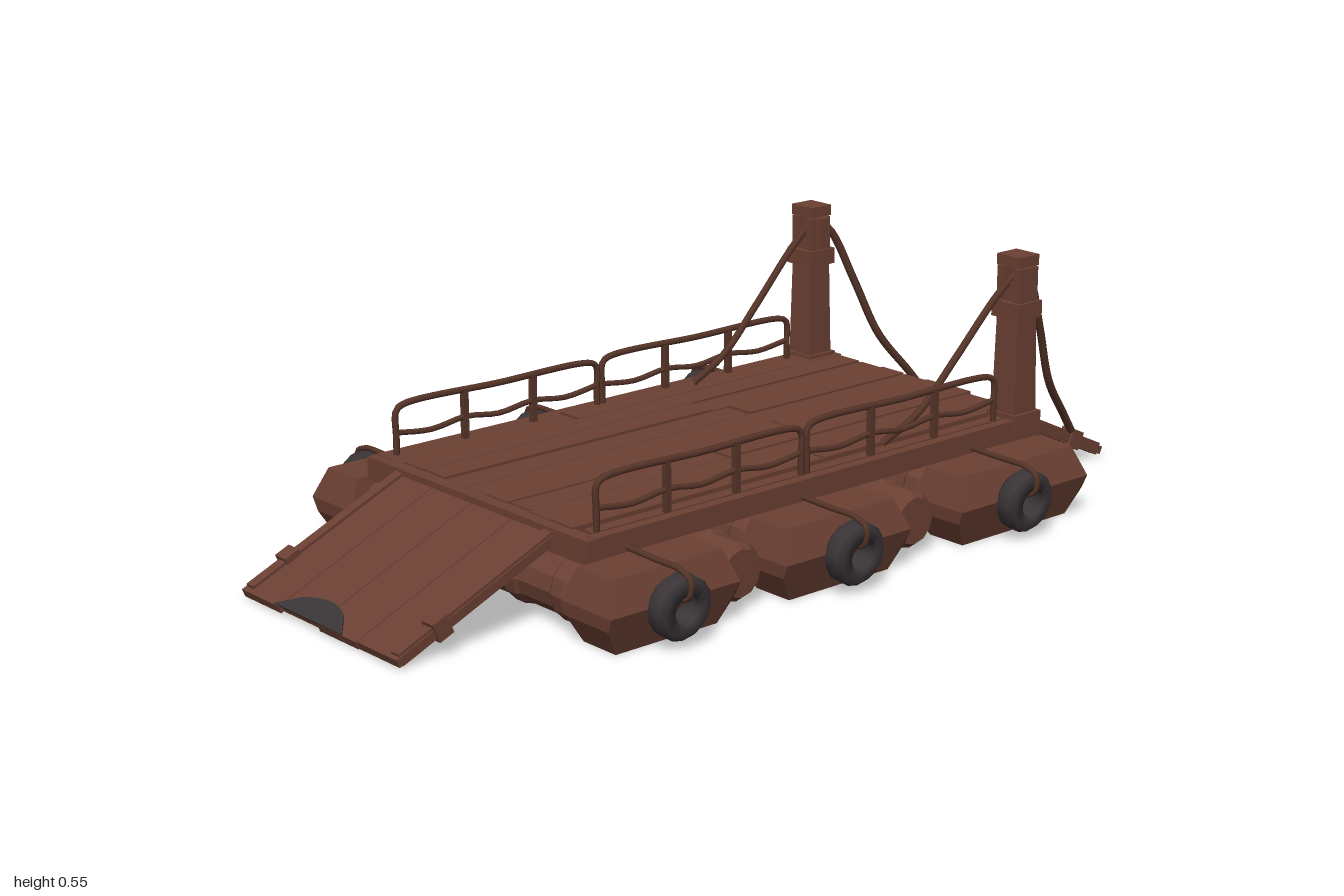
import * as THREE from 'three';
import { ConvexGeometry } from 'three/addons/geometries/ConvexGeometry.js';

export function createModel() {
  const model = new THREE.Group();
  const wood = new THREE.MeshStandardMaterial({ color: 0x6b4033 });
  wood.name = 'rusty brown wood';
  const rope = new THREE.MeshStandardMaterial({ color: 0x573529 });
  rope.name = 'dark brown rope';
  const rubber = new THREE.MeshStandardMaterial({ color: 0x3a3436 });
  rubber.name = 'dark grey rubber';
  wood.flatShading = true;

  let seed = 7;
  const rand = () => (seed = (seed * 16807) % 2147483647) / 2147483647;

  const add = (parent, name, geometry, material, x = 0, y = 0, z = 0) => {
    const mesh = new THREE.Mesh(geometry, material);
    mesh.name = name;
    mesh.position.set(x, y, z);
    parent.add(mesh);
    return mesh;
  };
  const box = (parent, name, w, h, d, x, y, z, material = wood) =>
    add(parent, name, new THREE.BoxGeometry(w, h, d), material, x, y, z);
  const tube = (parent, name, points, r, material = rope, steps = 24) => {
    const curve = new THREE.CatmullRomCurve3(points.map(p => new THREE.Vector3(...p)));
    return add(parent, name, new THREE.TubeGeometry(curve, steps, r, 6), material);
  };

  // Deck planks laid lengthwise, some cut in two
  const rows = 9, z0 = -0.335, pitch = 0.069;
  for (let i = 0; i < rows; i++) {
    const z = z0 + pitch * (i + 0.5);
    const a = -0.6 + rand() * 0.015, b = 0.635 + rand() * 0.015;
    const cut = -0.35 + rand() * 0.75;
    const ends = i % 3 === 1 ? [[a, b]] : [[a, cut - 0.003], [cut + 0.003, b]];
    for (const [s, e] of ends) {
      box(model, 'deckPlank', e - s, 0.03, pitch - 0.003, (s + e) / 2, 0.183 + rand() * 0.006, z);
    }
  }
  box(model, 'deckPlank', 1.2, 0.03, 0.028, 0.02, 0.184, 0.312);

  // Frame beams under and beside the deck
  for (const s of [-1, 1]) {
    box(model, 'sideBeam', 1.24, 0.045, 0.024, 0.02, 0.177, s * 0.345);
    box(model, 'innerBeam', 1.2, 0.03, 0.05, 0.02, 0.155, s * 0.2);
  }
  box(model, 'endBeam', 0.03, 0.05, 0.72, -0.605, 0.173, 0);
  box(model, 'endBeam', 0.03, 0.045, 0.68, 0.635, 0.17, 0);

  // Crosswise barrels with swollen ribs
  const barrelProfile = [[0, -0.4], [0.05, -0.4], [0.062, -0.385]];
  for (let i = -2; i <= 2; i++) {
    const c = i * 0.15;
    barrelProfile.push([0.062, c - 0.025], [0.068, c - 0.015], [0.068, c + 0.015], [0.062, c + 0.025]);
  }
  barrelProfile.push([0.062, 0.385], [0.05, 0.4], [0, 0.4]);
  const barrelGeo = new THREE.LatheGeometry(barrelProfile.map(p => new THREE.Vector2(...p)), 12);
  barrelGeo.rotateX(Math.PI / 2);
  for (const x of [-0.585, -0.435, -0.3, -0.13, 0.02, 0.18, 0.37, 0.54]) {
    const barrel = add(model, 'barrel', barrelGeo, wood, x, 0.08, 0);
    if (x === -0.3 || x === 0.18) barrel.scale.z = 1.1;
  }

  // Faceted floats with a tyre and strap on each
  const floatGeo = (half, s) => {
    const pts = [];
    for (const [y, dx, zi, zo] of [[0.004, 0.035, 0.365, 0.46], [0.06, 0.004, 0.35, 0.478],
      [0.09, 0, 0.345, 0.49], [0.155, 0.024, 0.36, 0.462]]) {
      for (const sx of [-1, 1]) for (const z of [zi, zo]) pts.push(new THREE.Vector3(sx * (half - dx), y, s * z));
    }
    return new ConvexGeometry(pts);
  };
  for (const s of [-1, 1]) {
    for (const [x, half, tx] of [[-0.51, 0.162, -0.52], [-0.055, 0.172, -0.06], [0.46, 0.193, 0.435]]) {
      add(model, 'float', floatGeo(half, s), wood, x, 0, 0);

      const tyre = new THREE.Group();
      tyre.name = 'tyreFender';
      tyre.position.set(tx, 0.086, s * 0.508);
      tyre.rotation.x = s * 0.1;
      const ring = [[0.03, -0.024], [0.056, -0.026], [0.066, -0.015], [0.066, 0.015],
        [0.056, 0.026], [0.03, 0.024], [0.03, -0.024]];
      const ringGeo = new THREE.LatheGeometry(ring.map(p => new THREE.Vector2(...p)), 16);
      ringGeo.rotateX(Math.PI / 2);
      add(tyre, 'tyre', ringGeo, rubber);
      model.add(tyre);

      tube(model, 'tyreStrap', [[tx, 0.165, s * 0.34], [tx, 0.162, s * 0.44], [tx, 0.16, s * 0.51],
        [tx, 0.145, s * 0.541], [tx, 0.11, s * 0.536], [tx, 0.095, s * 0.5]], 0.006);
    }
  }

  // Railings: two bent frames with uprights and a sagging middle rope on each side
  for (const s of [-1, 1]) {
    const z = s * 0.325;
    for (const [a, b] of [[-0.57, -0.035], [-0.02, 0.53]]) {
      tube(model, 'railFrame', [[a, 0.19, z], [a, 0.24, z], [a, 0.29, z], [a + 0.012, 0.302, z],
        [(a + b) / 2, 0.303, z], [b - 0.012, 0.298, z], [b, 0.287, z], [b, 0.24, z], [b, 0.19, z]], 0.007, rope, 60);
      const mid = [];
      for (let i = 0; i <= 6; i++) mid.push([a + (b - a) * i / 6, i % 2 ? 0.236 : 0.246, z]);
      tube(model, 'middleRail', mid, 0.006);
      for (const t of [0.33, 0.67]) box(model, 'railUpright', 0.013, 0.11, 0.013, a + (b - a) * t, 0.247, z, rope);
    }
  }

  // Mooring posts with collar and open head
  for (const s of [-1, 1]) {
    const post = new THREE.Group();
    post.name = 'mooringPost';
    post.position.set(0.6, 0, s * 0.32);
    const shaft = new THREE.CylinderGeometry(0.041, 0.05, 0.34, 4);
    shaft.rotateY(Math.PI / 4);
    add(post, 'shaft', shaft, wood, 0, 0.28, 0);
    box(post, 'foot', 0.08, 0.08, 0.084, 0, 0.17, 0);
    box(post, 'collar', 0.074, 0.036, 0.078, 0, 0.437, 0);
    for (const e of [-1, 1]) box(post, 'headCheek', 0.056, 0.075, 0.018, 0, 0.492, e * 0.024);
    box(post, 'headFiller', 0.05, 0.045, 0.034, 0, 0.476, 0);
    box(post, 'headCap', 0.06, 0.024, 0.066, 0, 0.544, 0);
    box(post, 'wedge', 0.03, 0.07, 0.012, 0, 0.495, -s * 0.038);
    model.add(post);

    // Stay ropes to deck and ramp
    tube(model, 'deckRope', [[0.6, 0.515, s * 0.318], [0.54, 0.47, s * 0.315], [0.42, 0.35, s * 0.31],
      [0.32, 0.255, s * 0.306], [0.22, 0.206, s * 0.3]], 0.008);
    tube(model, 'rampRope', [[0.6, 0.525, s * 0.318], [0.65, 0.49, s * 0.31], [0.71, 0.365, s * 0.29],
      [0.77, 0.23, s * 0.267], [0.85, 0.13, s * 0.245], [0.885, 0.085, s * 0.237]], 0.009);
  }

  // Sloping ramps with side rails, cleats, clamps and a worn dark tip
  const ramp = (side, hingeX, width, zMid) => {
    const g = new THREE.Group();
    g.name = side > 0 ? 'leftRamp' : 'rightRamp';
    const run = 0.992 - hingeX, drop = 0.168;
    const len = Math.hypot(run, drop);
    const slope = new THREE.Group();
    slope.name = 'rampSlope';
    slope.position.set(hingeX, 0.183, 0);
    slope.rotation.z = -Math.atan2(drop, run);
    const n = 4, w = width / n;
    for (let i = 0; i < n; i++) {
      const l = len - rand() * 0.008;
      box(slope, 'rampPlank', l, 0.018, w - 0.002, l / 2, 0, (i + 0.5) * w - width / 2);
    }
    for (const e of [-1, 1]) {
      box(slope, 'rampRail', len * 0.97, 0.028, 0.024, len * 0.485, 0.001, e * (width / 2 - 0.016));
      box(slope, 'rampClamp', 0.036, 0.042, 0.036, len * 0.73, 0.002, e * (width / 2 - 0.014));
    }
    box(slope, 'rampCleat', 0.025, 0.012, width - 0.02, len * 0.73, -0.013, 0);
    box(slope, 'rampCleat', 0.025, 0.012, width - 0.02, len * 0.25, -0.013, 0);

    const tip = new THREE.Shape();
    tip.moveTo(0, -0.115);
    tip.lineTo(-0.04, -0.07);
    tip.quadraticCurveTo(-0.075, 0.01, -0.04, 0.07);
    tip.lineTo(0, 0.115);
    const tipGeo = new THREE.ExtrudeGeometry(tip, { depth: 0.004, bevelEnabled: false });
    tipGeo.rotateX(-Math.PI / 2);
    add(slope, 'wornTip', tipGeo, rubber, len - 0.002, 0.008, -side * 0.03);
    g.add(slope);

    // Hinge bar
    const bar = new THREE.CylinderGeometry(0.016, 0.016, width + 0.06, 8);
    bar.rotateX(Math.PI / 2);
    add(g, 'hingeBar', bar, wood, hingeX, 0.183, 0);
    g.position.z = zMid;
    if (side < 0) g.rotation.y = Math.PI;
    model.add(g);
  };
  ramp(1, 0.635, 0.48, 0);
  ramp(-1, 0.6, 0.52, -0.005);

  return model;
}
